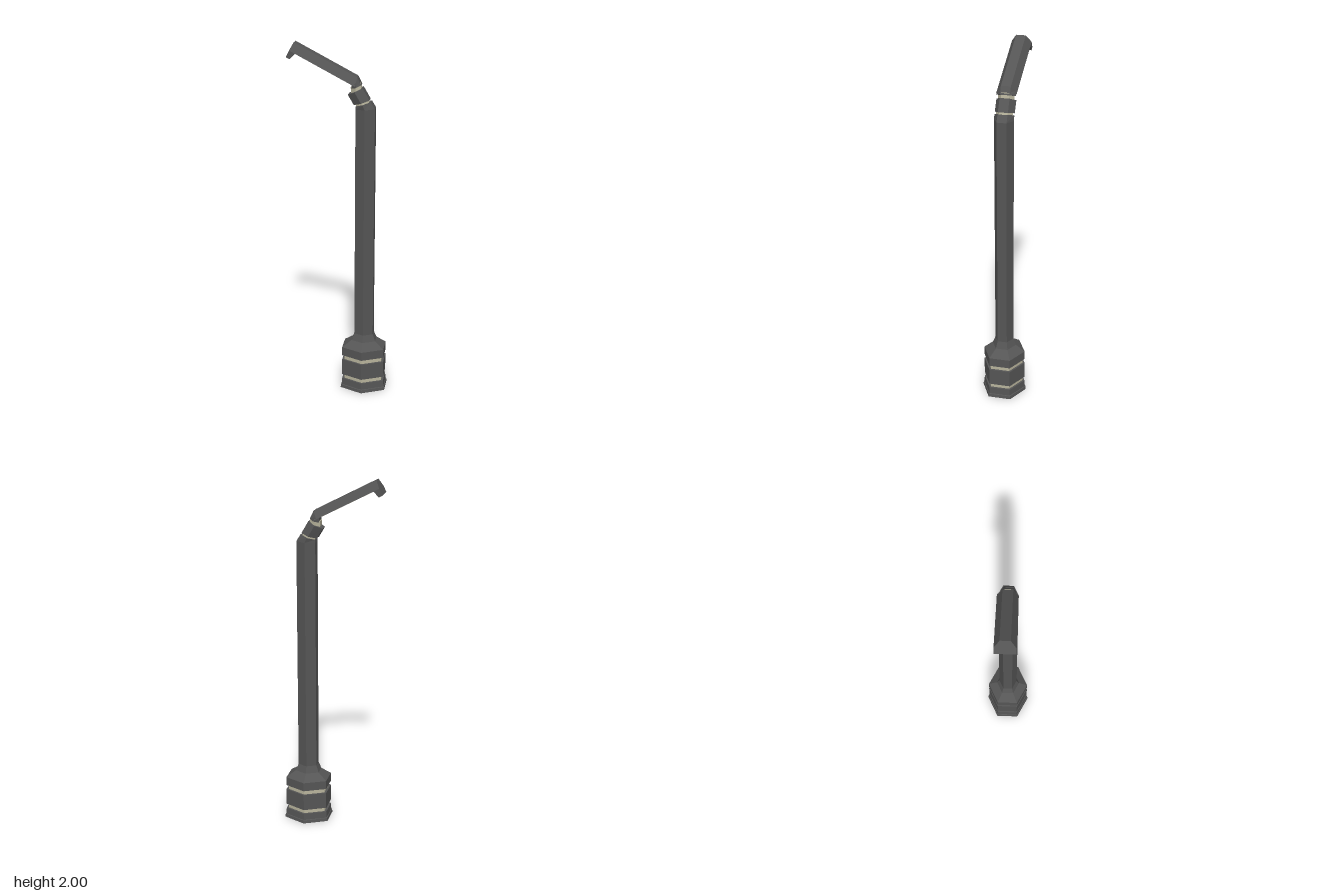
import * as THREE from 'three';

const dark = new THREE.MeshStandardMaterial({ color: 0x555555, flatShading: true });
dark.name = 'dark metal';
const pale = new THREE.MeshStandardMaterial({ color: 0xb8b49c, flatShading: true });
pale.name = 'pale trim';

// Skin a run of cross-sections, each counter-clockwise seen from the run's end, with capped ends
function loft(name, material, sections) {
  const n = sections[0].length, pos = [], last = sections.length - 1;
  const tri = (...pts) => pts.forEach(p => pos.push(...p));
  for (let s = 0; s < last; s++) {
    const a = sections[s], b = sections[s + 1];
    for (let i = 0; i < n; i++) {
      const j = (i + 1) % n;
      tri(a[i], a[j], b[j]);
      tri(a[i], b[j], b[i]);
    }
  }
  for (let i = 1; i < n - 1; i++) {
    tri(sections[0][0], sections[0][i + 1], sections[0][i]);
    tri(sections[last][0], sections[last][i], sections[last][i + 1]);
  }
  const geo = new THREE.BufferGeometry();
  geo.setAttribute('position', new THREE.Float32BufferAttribute(pos, 3));
  geo.computeVertexNormals();
  const mesh = new THREE.Mesh(geo, material);
  mesh.name = name;
  return mesh;
}

// Six-sided section spanning a left and a right point, with points at front and back
function hex([lx, ly], [rx, ry], z) {
  const mx = (lx + rx) / 2, my = (ly + ry) / 2;
  return [[rx, ry, z / 2], [rx, ry, -z / 2], [mx, my, -z], [lx, ly, -z / 2], [lx, ly, z / 2], [mx, my, z]];
}

const CX = 0.15;
const ring = (y, r) => hex([CX - r, y], [CX + r, y], r);

export function createModel() {
  const model = new THREE.Group();
  model.name = 'streetLamp';

  // Stacked base
  model.add(
    loft('foot', dark, [ring(0, 0.127), ring(0.018, 0.125), ring(0.02, 0.121), ring(0.057, 0.119)]),
    loft('lowerBaseBand', pale, [ring(0.055, 0.107), ring(0.084, 0.107)]),
    loft('baseDrum', dark, [ring(0.082, 0.119), ring(0.176, 0.119)]),
    loft('upperBaseBand', pale, [ring(0.174, 0.107), ring(0.204, 0.107)]),
    loft('baseShoulder', dark, [ring(0.202, 0.119), ring(0.252, 0.119), ring(0.29, 0.068), ring(0.33, 0.053)]),
  );

  // Post with a leaning top, then the bent neck
  model.add(
    loft('post', dark, [ring(0.33, 0.053), hex([0.097, 1.645], [0.203, 1.65], 0.054),
      hex([0.098, 1.662], [0.18, 1.687], 0.054)]),
    loft('lowerNeckBand', pale, [hex([0.103, 1.65], [0.17, 1.68], 0.046), hex([0.095, 1.68], [0.162, 1.71], 0.046)]),
    loft('neck', dark, [hex([0.088, 1.67], [0.173, 1.697], 0.054), hex([0.055, 1.725], [0.135, 1.763], 0.054)]),
    loft('upperNeckBand', pale, [hex([0.073, 1.73], [0.128, 1.757], 0.044), hex([0.07, 1.765], [0.122, 1.79], 0.044)]),
    loft('armSocket', dark, [hex([0.075, 1.758], [0.127, 1.778], 0.054), hex([0.075, 1.786], [0.118, 1.795], 0.05)]),
  );

  // Arm in its own frame: x runs down towards the neck, y is its upper side
  const arm = new THREE.Group();
  arm.name = 'arm';
  arm.position.set(-0.237, 2, 0);
  arm.rotation.z = -0.482;
  const half = (x0, y0, x1, y1) =>
    [[x1, y1, -0.055], [x0, y0, -0.027], [x0, y0, 0.027], [x1, y1, 0.055]];
  arm.add(loft('armShell', dark, [half(0, 0, 0, -0.045), half(0.387, 0, 0.385, -0.045), half(0.418, -0.023, 0.4, -0.045)]));
  const quad = (x, y) => [[x, y, 0.055], [x, y, -0.055], [0, y, -0.055], [0, y, 0.055]];
  arm.add(loft('armTip', dark, [quad(0.024, -0.085), quad(0.034, -0.045)]));

  // Light panel under the arm
  const panel = new THREE.Mesh(new THREE.BoxGeometry(0.31, 0.006, 0.075), pale);
  panel.name = 'lightPanel';
  panel.position.set(0.2, -0.044, 0);
  arm.add(panel);
  model.add(arm);

  return model;
}
